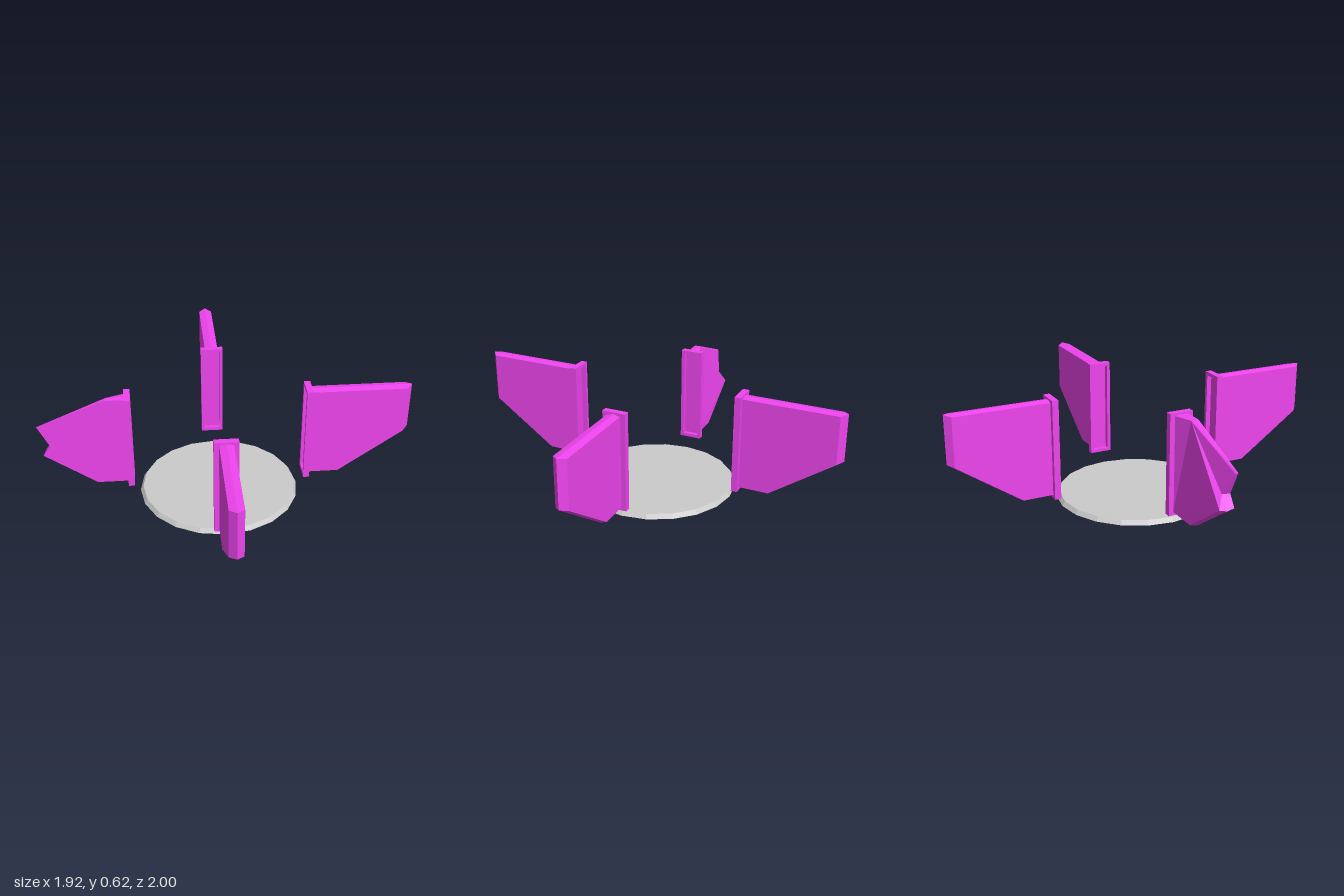
import * as THREE from 'three';

const purple = new THREE.MeshStandardMaterial({ color: 0xee44ee, flatShading: true });
const grey = new THREE.MeshStandardMaterial({ color: 0xcccccc, flatShading: true });

// Joins counter-clockwise outlines (ordered by rising z) and caps both ends.
function loft(sections) {
  const pos = [];
  const n = sections[0].length;
  const tri = (a, b, c) => pos.push(...a, ...b, ...c);
  for (let s = 0; s < sections.length - 1; s++) {
    const lo = sections[s], hi = sections[s + 1];
    for (let i = 0; i < n; i++) {
      const j = (i + 1) % n;
      tri(lo[i], lo[j], hi[j]);
      tri(lo[i], hi[j], hi[i]);
    }
  }
  const cap = (sec, flip) => {
    const flat = sec.map(([x, y]) => new THREE.Vector2(x, y));
    for (const [a, b, c] of THREE.ShapeUtils.triangulateShape(flat, [])) {
      if (flip) tri(sec[a], sec[c], sec[b]);
      else tri(sec[a], sec[b], sec[c]);
    }
  };
  cap(sections[0], true);
  cap(sections[sections.length - 1], false);
  const g = new THREE.BufferGeometry();
  g.setAttribute('position', new THREE.Float32BufferAttribute(pos, 3));
  g.computeVertexNormals();
  return g;
}

const atZ = (outline, z) => outline.map(([x, y]) => [x, y, z]);

// Whole fin: side faces meet in a shallow ridge round the edge.
function finGeometry() {
  const side = [[0.478, 0.117], [0.637, 0.117], [0.97, 0.35], [0.97, 0.604], [0.478, 0.604]];
  const ridge = [[0.478, 0.108], [0.64, 0.108], [1.0, 0.36], [1.0, 0.612], [0.478, 0.612]];
  return loft([atZ(side, -0.035), atZ(ridge, 0), atZ(side, 0.035)]);
}

// Broken fin: torn tip, with one face leaning in towards the upper edge.
function brokenFinGeometry() {
  const near = [[0.478, 0.117], [0.64, 0.117], [0.905, 0.3], [0.867, 0.357],
    [0.925, 0.475], [0.575, 0.61], [0.478, 0.61]];
  const far = [[0.478, 0.117, 0.035], [0.64, 0.117, 0.035], [0.895, 0.298, 0.035],
    [0.86, 0.357, 0.005], [0.918, 0.468, -0.025], [0.57, 0.607, 0], [0.478, 0.607, 0.035]];
  const ridge = [[0.478, 0.108, 0], [0.643, 0.108, 0], [0.904, 0.292, 0], [0.864, 0.357, -0.015],
    [0.923, 0.473, -0.03], [0.574, 0.612, -0.015], [0.478, 0.612, 0]];
  return loft([atZ(near, -0.035), ridge, far]);
}

// Mounting plate with a raised rim on its inner side.
function mount() {
  const group = new THREE.Group();
  group.name = 'mount';
  const w = 0.06, h = 0.26, t = 0.018;
  const rect = (Type, a, b) => new Type([[-a, -b], [a, -b], [a, b], [-a, b]].map(p => new THREE.Vector2(...p)));
  const shape = rect(THREE.Shape, w, h);
  shape.holes.push(rect(THREE.Path, w - t, h - t));
  const rim = new THREE.Mesh(
    new THREE.ExtrudeGeometry(shape, { depth: 0.025, bevelEnabled: false }), purple);
  rim.name = 'mountRim';
  rim.rotation.y = Math.PI / 2;
  rim.position.set(0.447, 0.36, 0);
  const back = new THREE.Mesh(new THREE.BoxGeometry(0.008, 2 * h, 2 * w), purple);
  back.name = 'mountBack';
  back.position.set(0.476, 0.36, 0);
  group.add(rim, back);
  return group;
}

export function createModel() {
  const model = new THREE.Group();
  const ring = new THREE.Group();
  ring.name = 'finRing';
  ring.position.x = -0.04;
  model.add(ring);

  // Four fins a quarter turn apart; the one on the right is broken.
  const names = ['leftFin', 'backFin', 'rightBrokenFin', 'frontFin'];
  names.forEach((name, k) => {
    const unit = new THREE.Group();
    unit.name = name;
    const blade = new THREE.Mesh(k === 2 ? brokenFinGeometry() : finGeometry(), purple);
    blade.name = 'finBlade';
    unit.add(blade, mount());
    unit.rotation.y = k * Math.PI / 2;
    ring.add(unit);
  });

  // Shallow faceted dish with a flat top and stepped underside.
  const profile = [[0, 0], [0.2, 0], [0.27, 0.022], [0.385, 0.025], [0.42, 0.03], [0.405, 0.053], [0, 0.053]];
  const dish = new THREE.Mesh(
    new THREE.LatheGeometry(profile.map(p => new THREE.Vector2(...p)), 20), grey);
  dish.name = 'dish';
  ring.add(dish);
  return model;
}
